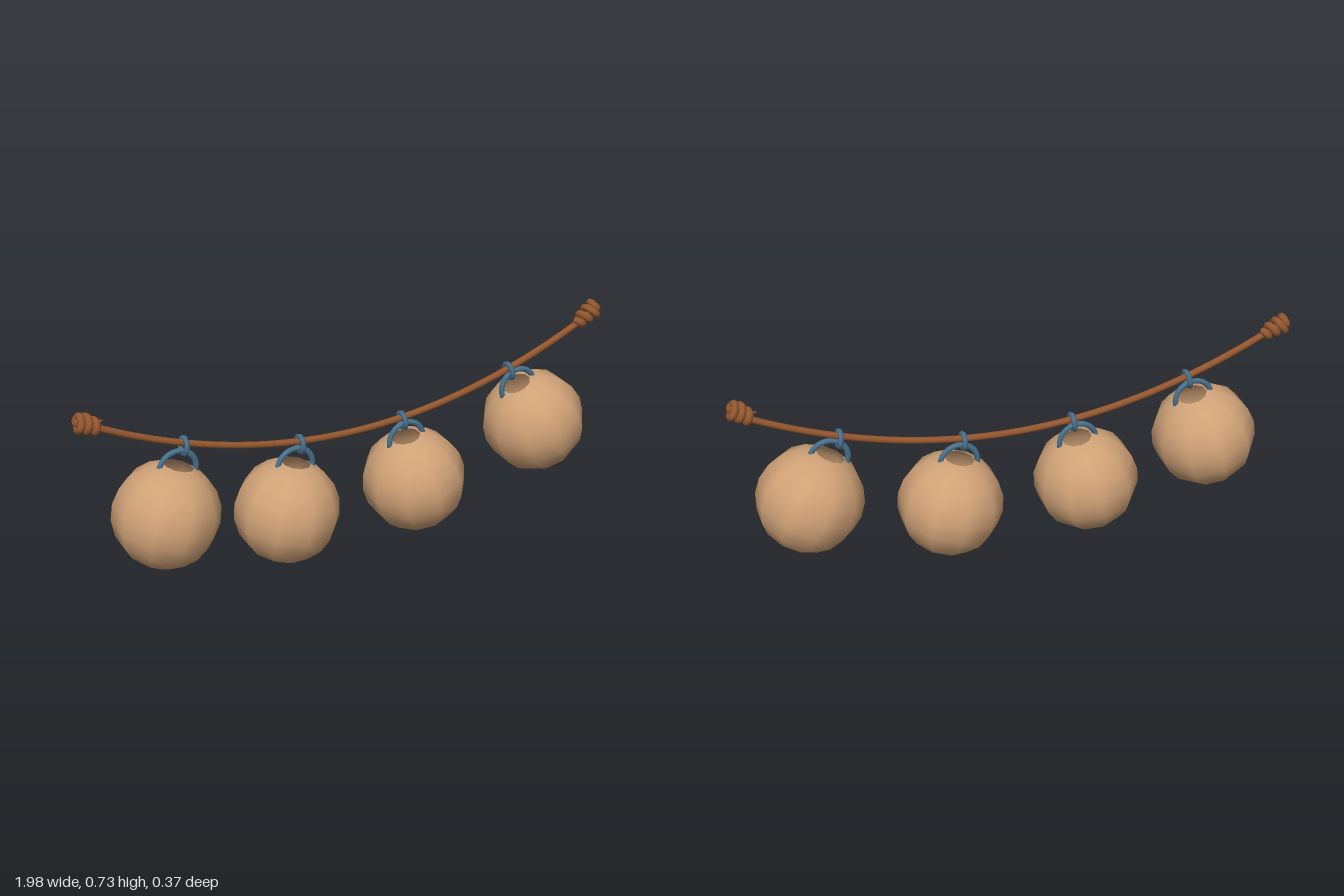
import * as THREE from 'three';

const mat = (name, color, extra = {}) => {
  const m = new THREE.MeshStandardMaterial({ color, ...extra });
  m.name = name;
  return m;
};

export function createModel() {
  const root = new THREE.Group();
  root.name = 'hangingGourds';
  const shell = mat('tanShell', 0xd0a277, { side: THREE.DoubleSide });
  const cord = mat('brownCord', 0x94572f);
  const metal = mat('blueMetal', 0x4a728e);

  const add = (parent, name, geometry, material) => {
    const m = new THREE.Mesh(geometry, material);
    m.name = name;
    parent.add(m);
    return m;
  };

  // Sagging rope
  const ropeY = (x) => 0.425 + 0.272 * x * x;
  const ropePoints = [];
  for (let i = -8; i <= 8; i++) {
    const x = (i / 8) * 0.95;
    ropePoints.push(new THREE.Vector3(x, ropeY(x), 0));
  }
  add(root, 'rope', new THREE.TubeGeometry(new THREE.CatmullRomCurve3(ropePoints), 48, 0.012, 8), cord);

  // Knots: a coil around the rope that swells and curls closed at its end
  const coil = [];
  for (let i = 0; i <= 40; i++) {
    const t = i / 40;
    const a = t * Math.PI * 2 * 3.6;
    const r = t < 0.75 ? 0.014 + 0.017 * t : 0.027 * (1 - (t - 0.75) / 0.25) + 0.002;
    const s = -0.002 + 0.083 * Math.min(1, t / 0.8);
    coil.push(new THREE.Vector3(s, r * Math.cos(a), r * Math.sin(a) + 0.008 * t));
  }
  const knotGeo = new THREE.TubeGeometry(new THREE.CatmullRomCurve3(coil), 110, 0.0135, 7);
  [[1, 0.64], [-1, 0.45]].forEach(([side, tilt]) => {
    const knot = new THREE.Group();
    knot.name = side > 0 ? 'leftKnot' : 'rightKnot';
    knot.position.set(side * 0.905, ropeY(0.905) + 0.003, 0);
    knot.rotation.set(0, side > 0 ? 0 : Math.PI, tilt);
    add(knot, 'coil', knotGeo, cord);
    const tip = add(knot, 'ropeEnd', new THREE.SphereGeometry(0.0135, 7, 5), cord);
    tip.position.copy(coil[40]);
    root.add(knot);
  });

  // Open-topped round shell, handle and link ring
  const R = 0.185;
  const hole = Math.asin(0.052 / R);
  const shellGeo = new THREE.SphereGeometry(R, 10, 9, 0, Math.PI * 2, hole, Math.PI - hole);
  shellGeo.rotateY(Math.PI / 10);
  const handleArc = Math.PI * 1.16;
  const handleGeo = new THREE.TorusGeometry(0.066, 0.0105, 6, 14, handleArc);
  handleGeo.rotateZ((Math.PI - handleArc) / 2);
  const ringGeo = new THREE.TorusGeometry(0.028, 0.0095, 6, 8);
  ringGeo.rotateY(Math.PI / 2);

  // x, y, tilt of each shell and x of its ring
  [
    [-0.695, 0.28, -0.29, -0.622],
    [-0.252, 0.183, -0.2, -0.199],
    [0.245, 0.183, 0.2, 0.195],
    [0.735, 0.303, 0.45, 0.624],
  ].forEach(([x, y, tilt, ringX], i) => {
    const g = new THREE.Group();
    g.name = 'pendant' + (i + 1);
    g.position.set(x, y, 0);
    g.rotation.z = tilt;
    add(g, 'shell', shellGeo, shell);
    add(g, 'handle', handleGeo, metal).position.y = 0.166;
    root.add(g);

    const ring = add(root, 'linkRing' + (i + 1), ringGeo, metal);
    ring.position.set(ringX, ropeY(ringX) - 0.011, 0);
    ring.rotation.z = Math.atan(0.544 * ringX) * 0.5;
  });

  return root;
}
